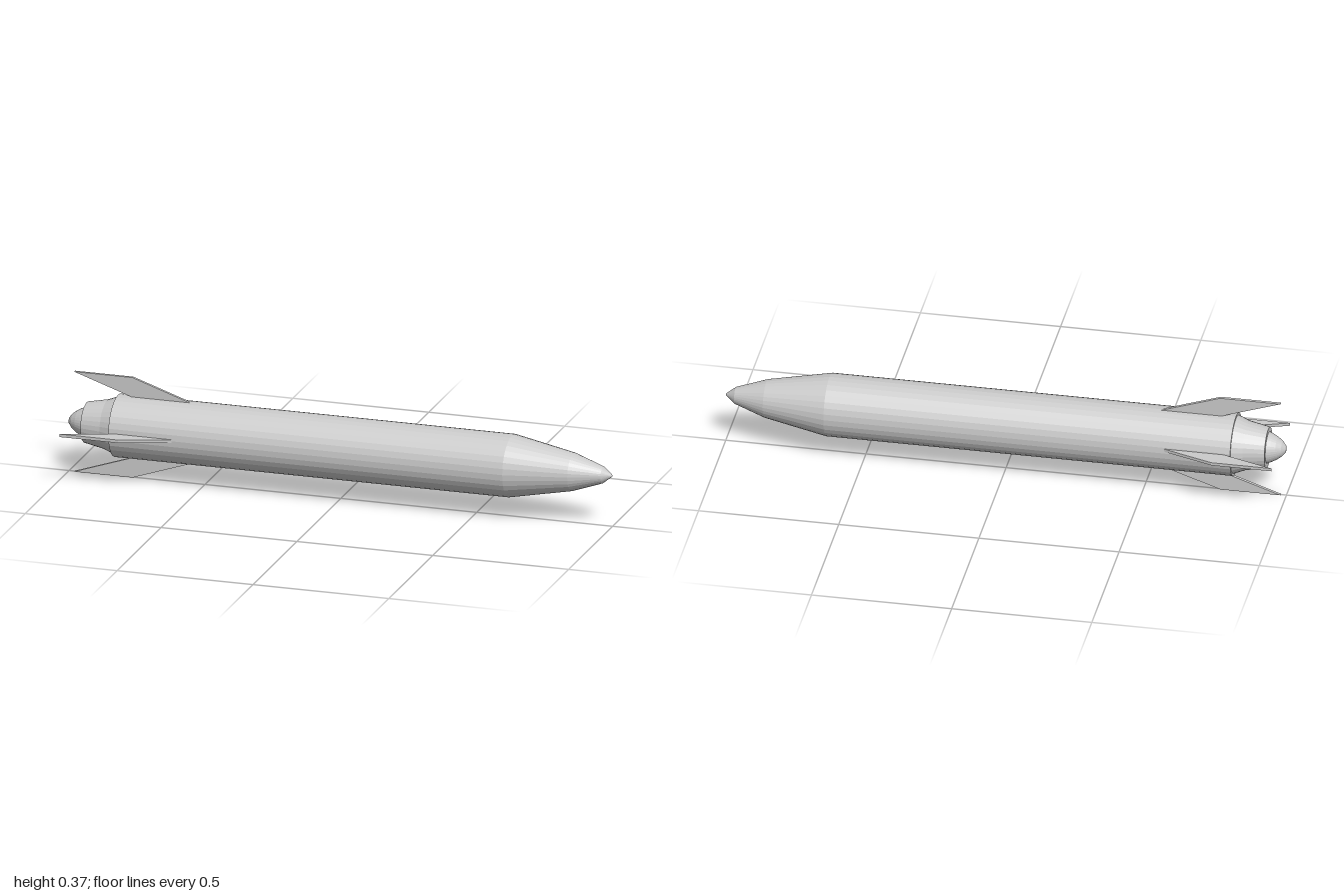
import * as THREE from 'three';

const AXIS_Y = 0.186; // height of the centre line
const SIDES = 32;

export function createModel() {
  const model = new THREE.Group();
  model.name = 'rocket';
  const metal = new THREE.MeshStandardMaterial({ color: 0xcccccc, flatShading: true });

  // Round parts: [position along x, radius], tail to nose
  const turned = (name, profile) => {
    const points = profile.map(([x, r]) => new THREE.Vector2(r, x));
    const mesh = new THREE.Mesh(new THREE.LatheGeometry(points, SIDES), metal);
    mesh.name = name;
    mesh.rotation.z = -Math.PI / 2;
    mesh.position.y = AXIS_Y;
    model.add(mesh);
  };

  turned('nozzle', [[-1, 0], [-0.998, 0.012], [-0.985, 0.028], [-0.967, 0.041], [-0.95, 0.05], [-0.937, 0.056], [-0.93, 0.056]]);
  turned('tailCone', [[-0.935, 0], [-0.935, 0.073], [-0.9, 0.08], [-0.86, 0.088], [-0.835, 0.098], [-0.82, 0.104]]);
  turned('body', [[-0.82, 0], [-0.82, 0.112], [0.63, 0.112]]);
  turned('noseCone', [[0.63, 0.112], [0.855, 0.068], [0.965, 0.03], [0.997, 0.005], [1, 0]]);

  // Four swept fins, the horizontal pair set slightly deeper
  const outline = new THREE.Shape([
    [-0.98, 0.183], [-0.765, 0.183], [-0.5, 0.093], [-0.715, 0.093],
  ].map(([x, y]) => new THREE.Vector2(x, y)));
  const finGeometry = new THREE.ExtrudeGeometry(outline, { depth: 0.011, bevelEnabled: false });
  finGeometry.translate(0, 0, -0.0055);

  const addFin = (name, angle, inset, lift) => {
    const fin = new THREE.Group();
    fin.name = name;
    const blade = new THREE.Mesh(finGeometry, metal);
    blade.name = name + 'Blade';
    blade.position.y = -inset;
    fin.add(blade);
    fin.rotation.x = angle;
    fin.position.y = AXIS_Y + lift;
    model.add(fin);
  };
  addFin('topFin', 0, 0, 0);
  addFin('frontFin', Math.PI / 2, 0.011, 0);
  addFin('bottomFin', Math.PI, -0.003, 0);
  addFin('backFin', -Math.PI / 2, 0.011, 0.012);

  return model;
}
